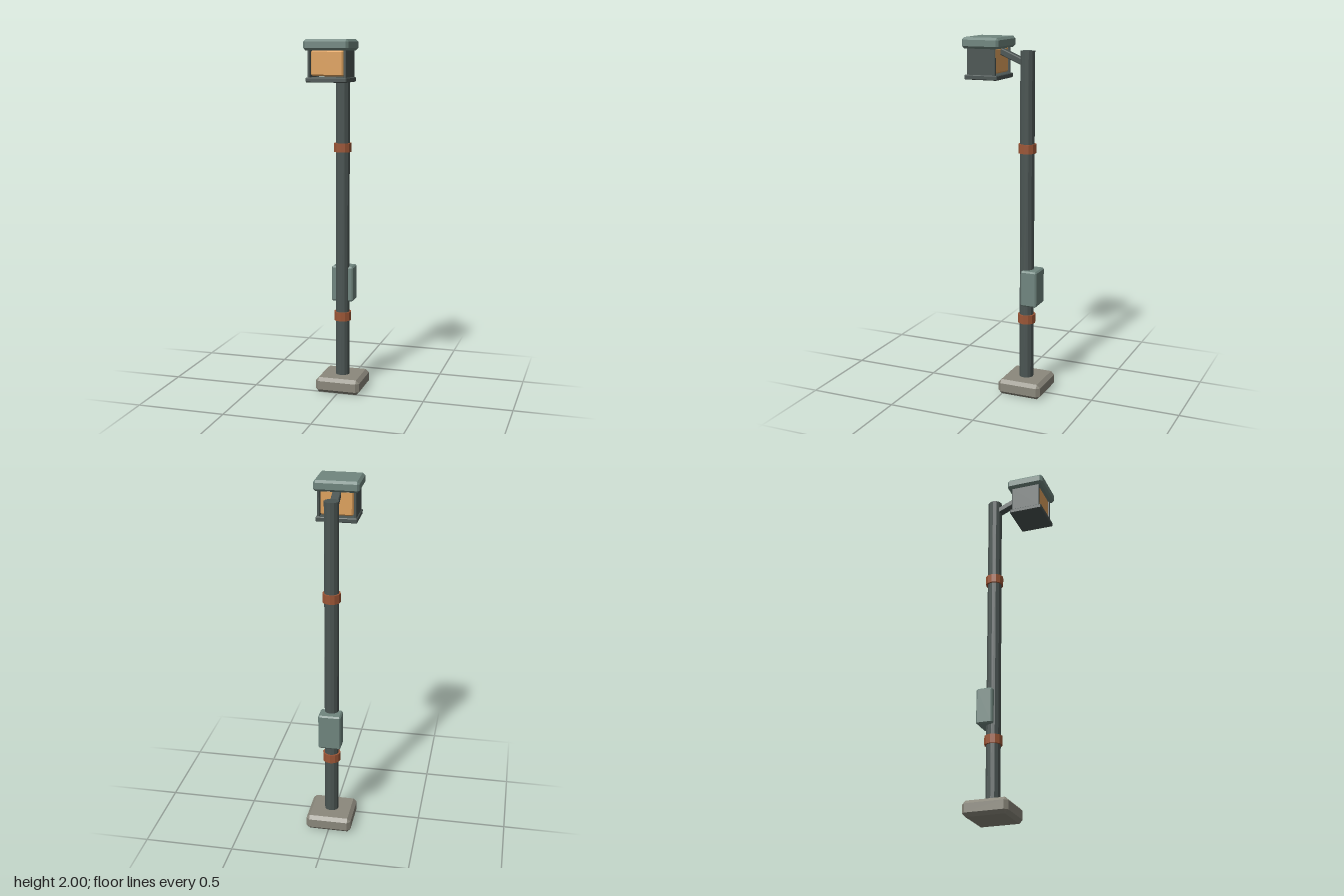
import * as THREE from 'three';
import { ConvexGeometry } from 'three/addons/geometries/ConvexGeometry.js';

const mat = (color) => new THREE.MeshStandardMaterial({ color, flatShading: true });

// Box with every edge bevelled by c
function chamferBox(w, h, d, c) {
  const half = [w / 2, h / 2, d / 2];
  const points = [];
  for (const sx of [-1, 1]) for (const sy of [-1, 1]) for (const sz of [-1, 1]) {
    for (let axis = 0; axis < 3; axis++) {
      const p = [sx, sy, sz].map((s, i) => s * (half[i] - (i === axis ? 0 : c)));
      points.push(new THREE.Vector3(...p));
    }
  }
  return new ConvexGeometry(points);
}

export function createModel() {
  const group = new THREE.Group();
  const dark = mat(0x4b5553);
  const green = mat(0x70867f);
  const stone = mat(0x8b887c);
  const rust = mat(0x9c5636);
  const amber = mat(0xe0a35e);

  const add = (name, geometry, material, x, y, z) => {
    const mesh = new THREE.Mesh(geometry, material);
    mesh.name = name;
    mesh.position.set(x, y, z);
    group.add(mesh);
    return mesh;
  };

  const poleZ = -0.104;
  const lampZ = 0.123;

  // Foot and post
  add('base', chamferBox(0.258, 0.087, 0.254, 0.019), stone, 0, 0.0435, -0.105);
  add('pole', new THREE.CylinderGeometry(0.04, 0.04, 1.86, 12), dark, 0, 1.0, poleZ);
  for (const [name, y] of [['lowerBand', 0.435], ['upperBand', 1.405]]) {
    add(name, new THREE.CylinderGeometry(0.05, 0.05, 0.05, 12), rust, 0, y, poleZ);
  }

  // Service box on the back of the post
  add('controlBox', chamferBox(0.126, 0.205, 0.094, 0.008), green, 0, 0.622, -0.137);

  // Sloping arm from post to lamp
  const arm = add('arm', chamferBox(0.045, 0.034, 0.15, 0.004), dark, 0, 1.895, -0.021);
  arm.rotation.x = -0.405;

  // Lamp head
  add('lampCap', chamferBox(0.247, 0.06, 0.215, 0.013), green, 0, 1.97, lampZ);
  add('lampTray', chamferBox(0.224, 0.026, 0.19, 0.004), dark, 0, 1.788, lampZ);
  add('lampLens', chamferBox(0.176, 0.135, 0.156, 0.008), amber, 0, 1.875, lampZ);
  for (const side of [-1, 1]) {
    const name = side > 0 ? 'leftLampPanel' : 'rightLampPanel';
    add(name, chamferBox(0.014, 0.15, 0.166, 0.003), dark, side * 0.099, 1.873, lampZ);
  }
  return group;
}
